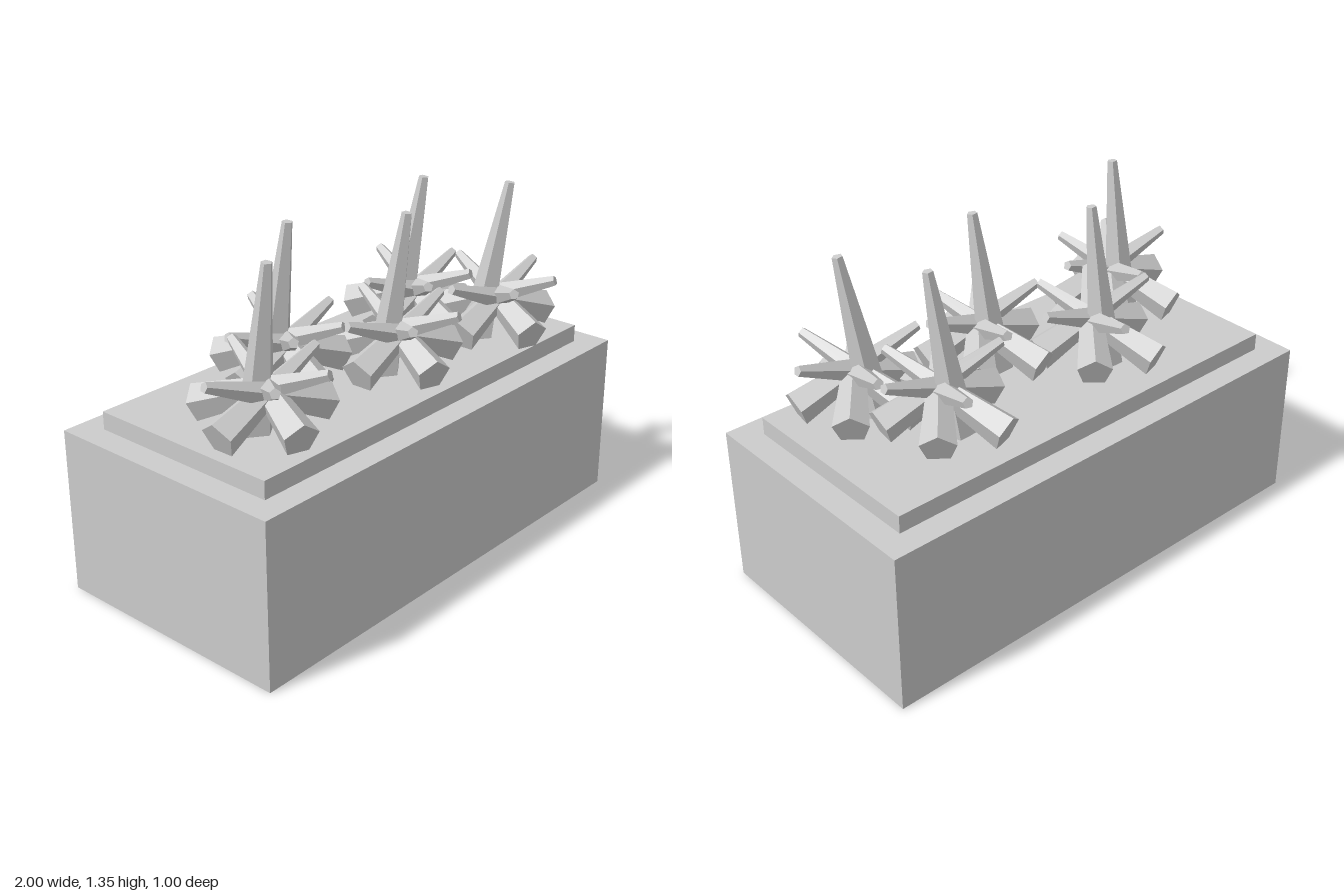
import * as THREE from 'three';

const material = new THREE.MeshStandardMaterial({ color: 0xcccccc, flatShading: true });
const UP = new THREE.Vector3(0, 1, 0);

function addBox(group, name, w, h, d, bottom) {
  const mesh = new THREE.Mesh(new THREE.BoxGeometry(w, h, d), material);
  mesh.position.y = bottom + h / 2;
  mesh.name = name;
  group.add(mesh);
}

// Five-sided tapered shard running from its thick end to its thin tip
function shard(name, thick, tip) {
  const dir = tip.clone().sub(thick);
  const length = dir.length();
  dir.normalize();
  const geometry = new THREE.CylinderGeometry(0.02, 0.07, length, 5);
  const mesh = new THREE.Mesh(geometry, material);
  // Keep one ridge of the shard facing upwards
  const side = new THREE.Vector3().crossVectors(dir, UP).normalize();
  const ridge = new THREE.Vector3().crossVectors(side, dir);
  mesh.quaternion.setFromRotationMatrix(
    new THREE.Matrix4().makeBasis(new THREE.Vector3().crossVectors(dir, ridge), dir, ridge));
  mesh.position.addVectors(thick, tip).multiplyScalar(0.5);
  mesh.name = name;
  return mesh;
}

// Tip x, z and thick end x, z of the five crossing shards
const shards = [
  [-0.265, 0.0, 0.23, 0.085],
  [0.095, -0.24, -0.06, 0.235],
  [0.25, 0.02, -0.24, 0.03],
  [0.08, 0.24, -0.075, -0.245],
  [-0.15, 0.21, 0.17, -0.165],
];

function crystalCluster(lean) {
  const cluster = new THREE.Group();
  cluster.name = 'crystalCluster';

  // Tall spike, leaning a little forward and to the side
  const spike = new THREE.Mesh(new THREE.CylinderGeometry(0.02, 0.07, 0.64, 5), material);
  spike.name = 'tallSpike';
  spike.position.y = 1.03;
  spike.rotation.set(0.12, 0, -lean);
  cluster.add(spike);

  for (const [tx, tz, bx, bz] of shards) {
    cluster.add(shard('crossingShard',
      new THREE.Vector3(bx, 0.79, bz), new THREE.Vector3(tx, 0.98, tz)));
  }
  return cluster;
}

export function createModel() {
  const model = new THREE.Group();
  model.name = 'crystalPlanter';

  addBox(model, 'base', 2, 0.65, 1, 0);
  addBox(model, 'topSlab', 1.8, 0.07, 0.8, 0.65);

  // Clusters lean further to the side along the row
  const places = [[-0.65, 0.15], [-0.3, -0.1], [0.05, 0.15], [0.45, -0.1], [0.6, 0.195]];
  places.forEach(([x, z], i) => {
    const cluster = crystalCluster(i * 0.03);
    cluster.position.set(x, 0, z);
    model.add(cluster);
  });
  return model;
}
